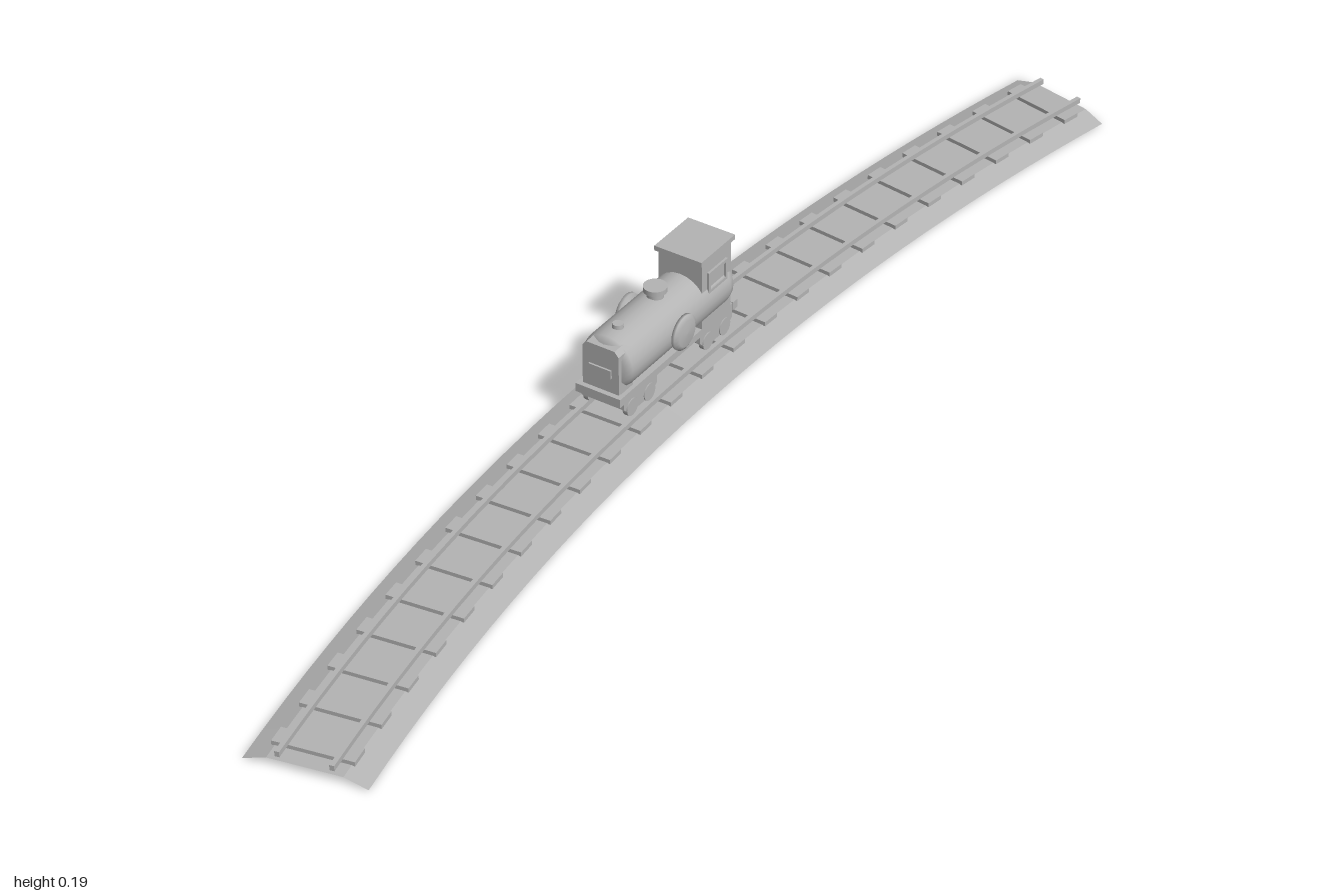
import * as THREE from 'three';

const gray = new THREE.MeshStandardMaterial({ color: 0xb4b4b4, side: THREE.DoubleSide });
gray.name = 'gray';

const R = 4.51, MID = -0.055, SWEEP = 0.219; // track radius, centre line at z = 0, half angle

function add(parent, name, geometry, x = 0, y = 0, z = 0) {
  const mesh = new THREE.Mesh(geometry, gray);
  mesh.name = name;
  mesh.position.set(x, y, z);
  parent.add(mesh);
  return mesh;
}

const box = (w, h, d) => new THREE.BoxGeometry(w, h, d);

// Point on the curved track, at a sideways offset and height
function trackPoint(angle, offset, y) {
  const r = R - offset;
  return [MID + R - r * Math.cos(angle), y, r * Math.sin(angle)];
}

// Sweep an [offset, height] section along the curve
function sweep(section, closed, half = SWEEP, steps = 32) {
  const positions = [];
  const at = (i, p) => trackPoint(-half + (2 * half * i) / steps, p[0], p[1]);
  const tri = (...points) => points.forEach((p) => positions.push(...p));
  const count = closed ? section.length : section.length - 1;
  for (let i = 0; i < steps; i++) {
    for (let j = 0; j < count; j++) {
      const p = section[j], q = section[(j + 1) % section.length];
      tri(at(i, p), at(i, q), at(i + 1, q));
      tri(at(i, p), at(i + 1, q), at(i + 1, p));
    }
  }
  if (closed) {
    for (let j = 1; j < section.length - 1; j++) {
      tri(at(steps, section[0]), at(steps, section[j]), at(steps, section[j + 1]));
      tri(at(0, section[0]), at(0, section[j + 1]), at(0, section[j]));
    }
  }
  const geometry = new THREE.BufferGeometry();
  geometry.setAttribute('position', new THREE.Float32BufferAttribute(positions, 3));
  geometry.computeVertexNormals();
  return geometry;
}

// Extrude a side outline given as [z, y] points, centred across x
function sideExtrude(points, width) {
  const shape = new THREE.Shape(points.map(([z, y]) => new THREE.Vector2(z, y)));
  const geometry = new THREE.ExtrudeGeometry(shape, { depth: width, bevelEnabled: false });
  geometry.translate(0, 0, -width / 2);
  return geometry.rotateY(-Math.PI / 2);
}

function lathe(points, sides) {
  return new THREE.LatheGeometry(points.map(([r, h]) => new THREE.Vector2(r, h)), sides);
}

function createTrack() {
  const track = new THREE.Group();
  track.name = 'track';

  // Open bank of ballast
  add(track, 'ballast', sweep([[0.09, 0], [0.055, 0.0115], [-0.055, 0.0115], [-0.09, 0]], false));

  // Sleepers
  const count = 24;
  for (let i = 0; i < count; i++) {
    const angle = SWEEP * (((i + 0.5) / count) * 2 - 1);
    const sleeper = add(track, 'sleeper', box(0.12, 0.007, 0.03), ...trackPoint(angle, 0, 0.0142));
    sleeper.rotation.y = angle;
  }

  // Rails
  for (const s of [-0.039, 0.039]) {
    const w = 0.0035;
    add(track, 'rail', sweep([[s - w, 0.0175], [s + w, 0.0175], [s + w, 0.026], [s - w, 0.026]], true));
  }
  return track;
}

function createEngine() {
  const engine = new THREE.Group();
  engine.name = 'engine';
  engine.position.x = MID;

  // Frame and buffer beams
  add(engine, 'footplate', box(0.075, 0.012, 0.3), 0, 0.064, 0);
  for (const s of [-1, 1]) add(engine, 'bufferBeam', box(0.077, 0.014, 0.012), 0, 0.064, s * 0.146);

  // Wheel trucks
  for (const s of [-1, 1]) {
    const truck = new THREE.Group();
    truck.name = 'truck';
    truck.position.z = s * 0.098;
    engine.add(truck);
    add(truck, 'truckFrame', sideExtrude([[-0.042, 0.06], [-0.042, 0.045], [-0.026, 0.031],
      [0.026, 0.031], [0.042, 0.045], [0.042, 0.06]], 0.073));
    for (const x of [-0.034, 0.034]) {
      for (const z of [-0.022, 0.022]) {
        add(truck, 'wheel', new THREE.CylinderGeometry(0.014, 0.014, 0.008, 16).rotateZ(Math.PI / 2), x, 0.04, z);
      }
    }
  }

  // Boiler with rounded ends
  const boiler = lathe([[0, -0.14], [0.036, -0.14], [0.043, -0.134], [0.045, -0.124], [0.045, 0.115],
    [0.043, 0.126], [0.036, 0.137], [0, 0.14]], 24).rotateX(Math.PI / 2);
  add(engine, 'boiler', boiler, 0, 0.108, 0);

  // Front box with chamfered top and a plate
  const face = new THREE.Shape([[-0.031, 0.07], [0.031, 0.07], [0.031, 0.136], [0.024, 0.144],
    [-0.024, 0.144], [-0.031, 0.136]].map(([x, y]) => new THREE.Vector2(x, y)));
  add(engine, 'frontBox', new THREE.ExtrudeGeometry(face, { depth: 0.035, bevelEnabled: false }), 0, 0, 0.109);
  add(engine, 'frontPlate', box(0.038, 0.014, 0.004), 0, 0.103, 0.145);

  // Side discs with stems
  for (const s of [-1, 1]) {
    const disc = lathe([[0.014, 0.036], [0.014, 0.046], [0.028, 0.046], [0.028, 0.051], [0.021, 0.055], [0, 0.056]], 20);
    add(engine, 'sideDisc', disc.rotateZ(-s * Math.PI / 2), 0, 0.107, 0.005);
  }

  // Fittings along the top
  add(engine, 'domeStem', new THREE.CylinderGeometry(0.013, 0.013, 0.016, 16), 0, 0.156, 0.005);
  add(engine, 'domeCap', new THREE.CylinderGeometry(0.018, 0.018, 0.008, 16), 0, 0.165, 0.005);
  add(engine, 'filler', new THREE.CylinderGeometry(0.008, 0.009, 0.012, 12), 0, 0.153, 0.1);

  // Cab
  const cab = new THREE.Group();
  cab.name = 'cab';
  cab.position.z = -0.097;
  engine.add(cab);
  add(cab, 'cabBody', box(0.075, 0.114, 0.076), 0, 0.126, 0);
  add(cab, 'roof', box(0.081, 0.008, 0.088), 0, 0.186, 0);
  for (const s of [-1, 1]) {
    // Raised window frames made of four bars
    for (const e of [-1, 1]) {
      add(cab, 'windowFrame', box(0.005, 0.034, 0.005), s * 0.0385, 0.143, e * 0.022);
      add(cab, 'windowFrame', box(0.005, 0.005, 0.049), s * 0.0385, 0.143 + e * 0.015, 0);
    }
  }
  return engine;
}

export function createModel() {
  const model = new THREE.Group();
  model.name = 'trainOnTrack';
  model.add(createTrack(), createEngine());
  return model;
}
